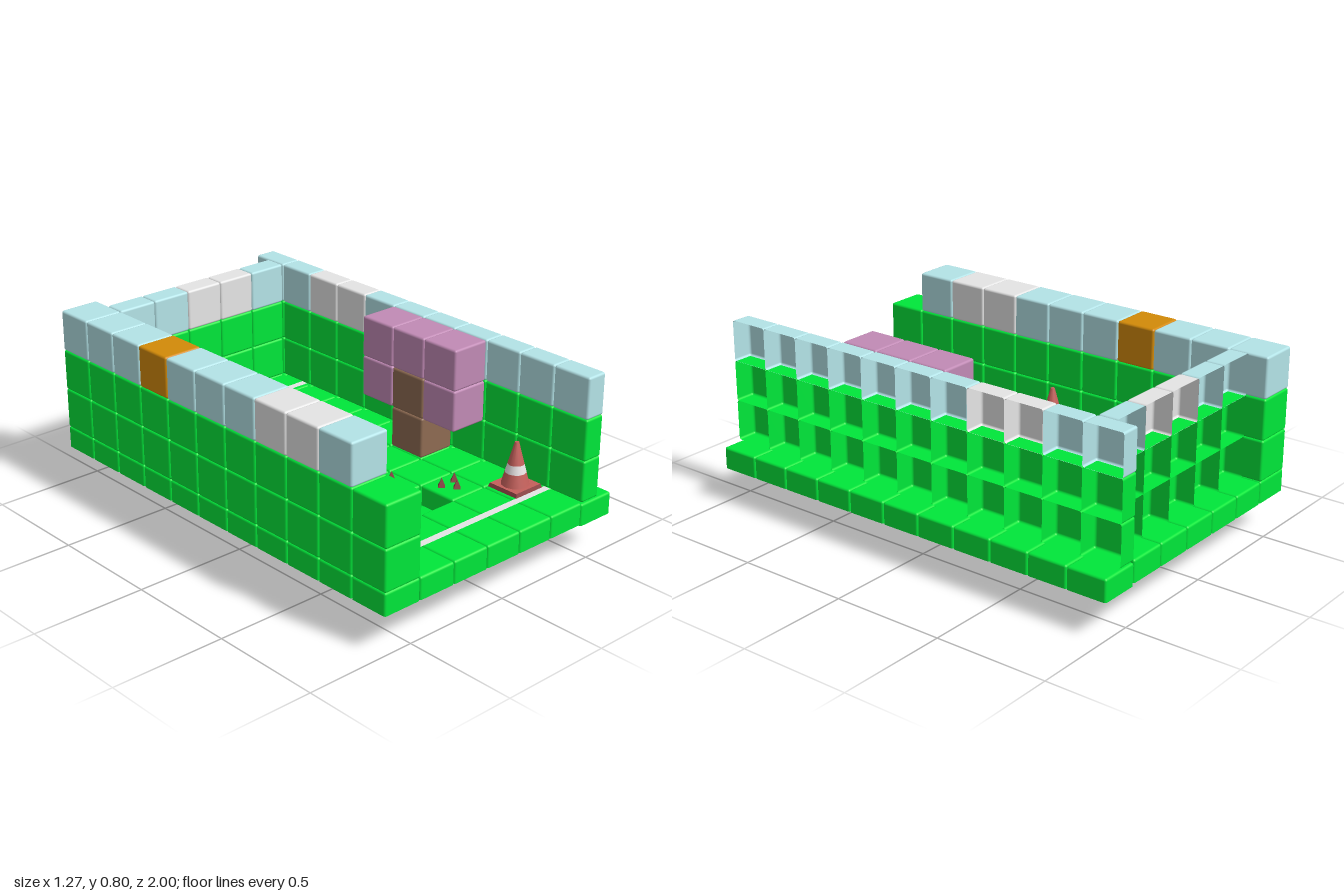
import * as THREE from 'three';
import { RoundedBoxGeometry } from 'three/addons/geometries/RoundedBoxGeometry.js';

const PX = 1.27 / 7, PZ = 2 / 11, S = 0.1808, R = 0.01;
const FLOOR = 0.262, TILE = 0.097, LAYER = 0.18;
const colX = (c) => (c - 3) * PX;
const rowZ = (r) => (r - 5) * PZ;

const mat = (name, color, side = THREE.FrontSide) => {
  const m = new THREE.MeshStandardMaterial({ color, side });
  m.name = name;
  return m;
};

// Rounded block cut open at the back: closed face at z = +depth, open at z = 0
function openBlock(depth) {
  const src = new RoundedBoxGeometry(S, S, depth * 2, 2, R).toNonIndexed();
  const p = src.attributes.position, n = src.attributes.normal;
  const pos = [], nor = [];
  for (let i = 0; i < p.count; i += 3) {
    if (p.getZ(i) < 0 && p.getZ(i + 1) < 0 && p.getZ(i + 2) < 0) continue;
    for (let j = i; j < i + 3; j++) {
      pos.push(p.getX(j), p.getY(j), Math.max(0, p.getZ(j)));
      nor.push(n.getX(j), n.getY(j), n.getZ(j));
    }
  }
  const g = new THREE.BufferGeometry();
  g.setAttribute('position', new THREE.Float32BufferAttribute(pos, 3));
  g.setAttribute('normal', new THREE.Float32BufferAttribute(nor, 3));
  return g;
}

export function createModel() {
  const D = THREE.DoubleSide;
  const M = {
    green: mat('grass green', 0x00e83a, D),
    blue: mat('pale blue', 0xb5e5e9, D),
    gray: mat('light gray', 0xe5e5e5, D),
    purple: mat('mauve', 0xc18ab5),
    brown: mat('brown', 0x8e6b52),
    orange: mat('orange', 0xd38a08),
    red: mat('cone red', 0xc4605b),
    dark: mat('dark red', 0x8c4242),
    white: mat('stripe white', 0xf0ecec),
  };
  const model = new THREE.Group();
  const group = (name) => {
    const g = new THREE.Group();
    g.name = name;
    model.add(g);
    return g;
  };
  const add = (parent, name, geo, material, x, y, z) => {
    const m = new THREE.Mesh(geo, material);
    m.name = name;
    m.position.set(x, y, z);
    parent.add(m);
  };

  const tileGeo = openBlock(TILE).rotateX(-Math.PI / 2);
  const cubeGeo = new RoundedBoxGeometry(S, S, S, 2, R);
  const backGeo = openBlock(0.09);
  const sideGeo = openBlock(0.09).rotateY(-Math.PI / 2);
  const layerY = (l) => FLOOR - 0.001 + (l + 0.5) * LAYER;

  // Floor tiles, with a stepped pit
  const floor = group('floor');
  const sunk = { '2,8': 0.165, '1,8': 0.083, '3,8': 0.083, '2,7': 0.083 };
  for (let c = 0; c < 7; c++) {
    for (let r = 0; r < 11; r++) {
      const drop = sunk[`${c},${r}`] ?? (c === 6 ? 0.009 : 0);
      add(floor, 'floorTile', tileGeo, M.green, colX(c), FLOOR - TILE - drop, rowZ(r));
    }
  }

  // Left wall of full cubes
  const left = group('fullWall');
  const leftTop = ['blue', 'blue', 'blue', 'orange', 'blue', 'blue', 'blue', 'gray', 'gray', 'blue'];
  for (let r = 0; r < 11; r++) {
    for (let l = 0; l < 2; l++) add(left, 'wallCube', cubeGeo, M.green, colX(0), layerY(l), rowZ(r));
    if (leftTop[r]) add(left, 'topCube', cubeGeo, M[leftTop[r]], colX(0), layerY(2), rowZ(r));
  }

  // Right wall of half blocks, open outward
  const right = group('sideHalfWall');
  for (let r = 0; r < 11; r++) {
    for (let l = 0; l < 3; l++) {
      const m = l < 2 ? M.green : r === 2 || r === 3 ? M.gray : M.blue;
      add(right, 'halfBlock', sideGeo, m, colX(6), layerY(l), rowZ(r));
    }
  }

  // Back wall of half blocks, open backward
  const back = group('backHalfWall');
  for (let c = 1; c < 6; c++) {
    for (let l = 0; l < 3; l++) {
      const m = l < 2 ? M.green : c === 3 || c === 4 ? M.gray : M.blue;
      add(back, 'halfBlock', backGeo, m, colX(c), layerY(l), rowZ(0));
    }
  }

  // Tree: brown trunk under a block crown
  const tree = group('tree');
  for (const l of [0, 1]) add(tree, 'trunk', cubeGeo, M.brown, colX(5), layerY(l), rowZ(6));
  for (const [r, l] of [[5, 1], [5, 2], [6, 2], [7, 1], [7, 2]]) {
    add(tree, 'crown', cubeGeo, M.purple, colX(5), layerY(l), rowZ(r));
  }

  // Flat ground lines
  const lineGeo = new THREE.PlaneGeometry(0.91, 0.034).rotateX(-Math.PI / 2);
  for (const z of [-0.672, 0.815]) add(model, 'groundLine', lineGeo, M.gray, 0, FLOOR + 0.002, z);

  // Traffic cones: square slab with dark rim, striped cone
  const slab = new THREE.CylinderGeometry(0.072 * Math.SQRT2, 0.078 * Math.SQRT2, 0.016, 4, 1)
    .rotateY(Math.PI / 4).toNonIndexed();
  slab.computeVertexNormals();
  const coneR = (y) => THREE.MathUtils.mapLinear(y, 0.016, 0.203, 0.06, 0.009);
  const section = (y0, y1, open) =>
    new THREE.CylinderGeometry(coneR(y1), coneR(y0), y1 - y0, 12, 1, open).translate(0, (y0 + y1) / 2, 0);
  const parts = [
    ['coneLower', section(0.016, 0.072, true), M.red],
    ['coneStripe', section(0.072, 0.108, true), M.white],
    ['coneUpper', section(0.108, 0.203, false), M.red],
  ];
  for (const [c, r] of [[1, 5], [1, 9], [5, 9]]) {
    const cone = group('trafficCone');
    cone.position.set(colX(c), FLOOR, rowZ(r) - 0.005);
    add(cone, 'coneBase', slab, [M.dark, M.red, M.red], 0, 0.01, 0);
    for (const [name, geo, m] of parts) add(cone, name, geo, m, 0, 0, 0);
  }

  // Spikes in clusters of three
  const spike = new THREE.ConeGeometry(0.02, 0.04, 4).toNonIndexed();
  spike.computeVertexNormals();
  for (const [c, r] of [[1, 7], [3, 7], [4, 8]]) {
    const trap = group('spikes');
    trap.position.set(colX(c), FLOOR + 0.021, rowZ(r));
    for (const [x, z] of [[-0.037, -0.027], [0.037, -0.027], [0, 0.025]]) add(trap, 'spike', spike, M.dark, x, 0, z);
  }

  // Heart floating over the pit
  const h = new THREE.Shape();
  h.moveTo(0, -0.035);
  h.bezierCurveTo(-0.02, -0.02, -0.038, -0.006, -0.038, 0.012);
  h.bezierCurveTo(-0.038, 0.034, -0.01, 0.034, 0, 0.021);
  h.bezierCurveTo(0.01, 0.034, 0.038, 0.034, 0.038, 0.012);
  h.bezierCurveTo(0.038, -0.006, 0.02, -0.02, 0, -0.035);
  const heart = new THREE.ExtrudeGeometry(h, { depth: 0.028, bevelEnabled: false, curveSegments: 6 });
  add(model, 'heart', heart, M.purple, colX(2), 0.318, rowZ(8) - 0.014);

  return model;
}
